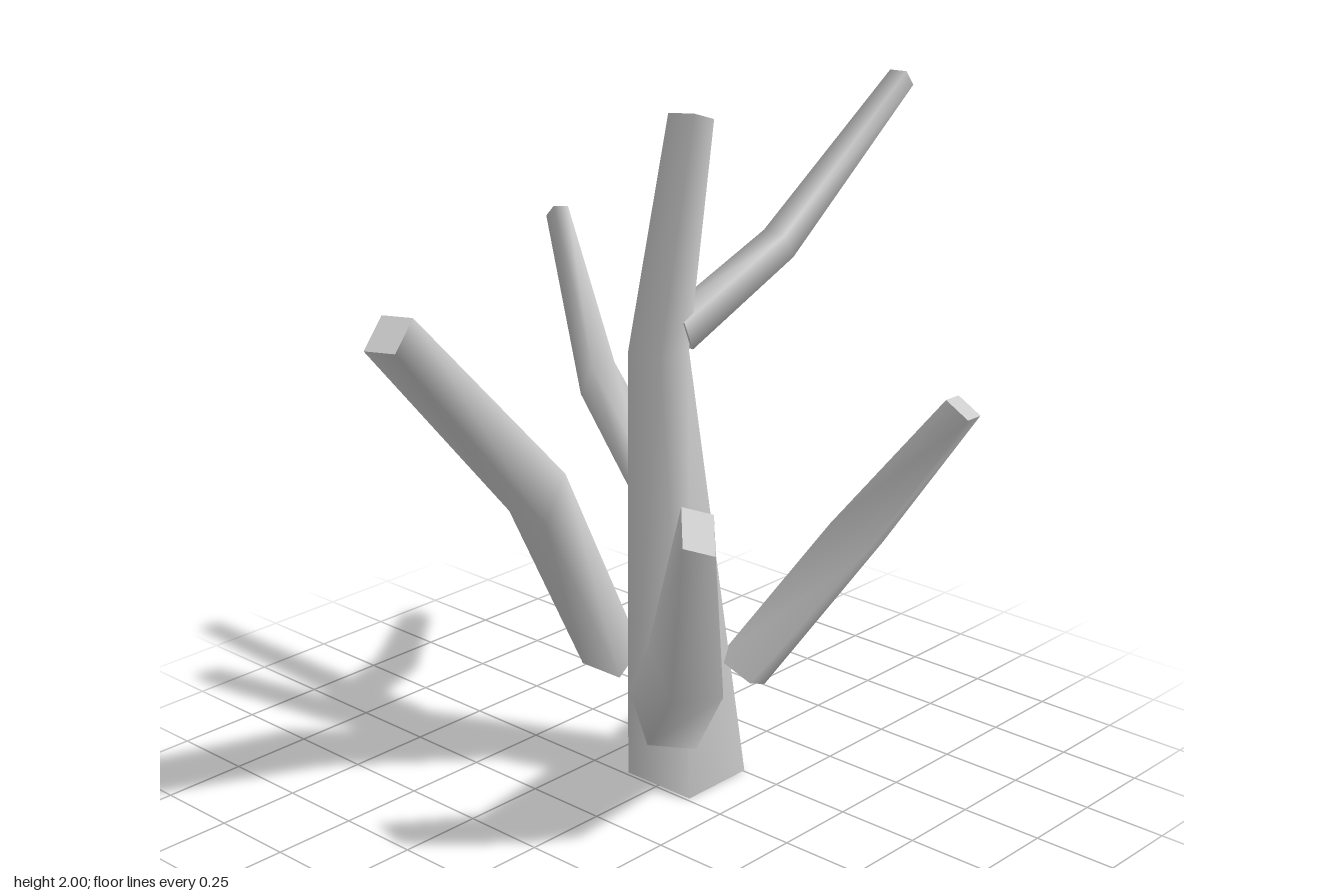
import * as THREE from 'three';

const material = new THREE.MeshStandardMaterial({ color: 0xcccccc });

// Each cross-section is [centre, half side u, half side v].
const LIMBS = {
  trunk: [
    [[0.133, 0, 0], [0.122, 0, 0], [0, 0, 0.122]],
    [[0.07, 1.31, -0.055], [0.06, 0, 0], [0, 0, 0.06]],
    [[0.162, 1.963, -0.02], [0.041, -0.014, 0], [0, 0.006, 0.047]],
  ],
  backRightBranch: [
    [[0.05, 0.335, -0.225], [0.05, 0.03, -0.005], [0, 0, 0.075]],
    [[-0.26, 0.94, -0.21], [0.05, 0.06, -0.01], [-0.005, 0, 0.077]],
    [[-0.907, 1.575, -0.066], [0.042, 0.035, -0.012], [0.014, 0.002, 0.043]],
  ],
  frontRightBranch: [
    [[-0.005, 0.23, 0.03], [0.06, -0.015, 0.04], [0.025, 0.06, -0.06]],
    [[-0.26, 0.57, 0.35], [0.06, 0, 0.04], [0.02, 0.06, -0.06]],
    [[-0.39, 1.053, 0.508], [0.027, -0.01, 0.032], [0.028, 0.042, -0.028]],
  ],
  frontLeftBranch: [
    [[0.26, 0.315, 0.1], [0.062, -0.03, -0.025], [-0.007, 0.025, -0.057]],
    [[0.556, 0.716, 0.283], [0.063, 0, -0.012], [-0.003, 0.034, -0.06]],
    [[0.56, 1.18, 0.638], [0.043, -0.006, -0.01], [-0.002, 0.022, -0.037]],
  ],
  upperLeftBranch: [
    [[0.12, 1.355, -0.033], [-0.018, 0.042, 0], [0, 0, 0.046]],
    [[0.505, 1.545, 0.01], [-0.022, 0.035, 0], [-0.008, 0, 0.044]],
    [[0.935, 1.973, 0.103], [-0.02, 0.023, 0.002], [-0.002, 0.002, 0.031]],
  ],
  backBranch: [
    [[0.097, 0.92, -0.115], [0.05, 0, 0], [0, 0.045, 0.025]],
    [[0.152, 1.14, -0.372], [0.04, -0.002, 0.008], [-0.005, 0.05, 0.027]],
    [[0.285, 1.565, -0.663], [0.027, -0.005, 0.003], [-0.005, 0.019, 0.021]],
  ],
};

// Four-sided limb: smooth sides through the sections, flat ends.
function limbGeometry(data) {
  const sections = data.map((s) => s.map((p) => new THREE.Vector3(...p)));
  const [c0, u0, v0] = sections[0];
  const path = sections[1][0].clone().sub(c0);
  const turn = Math.sign(u0.clone().cross(v0).dot(path));
  const rings = sections.map(([c, u, v]) =>
    [[-1, -1], [1, -1], [1, 1], [-1, 1]].map(([a, b]) =>
      c.clone().addScaledVector(u, a).addScaledVector(v, b * turn)));

  const last = rings.length - 1;
  const points = [...rings.flat(), ...rings[0], ...rings[last]];
  const index = [];
  for (let r = 0; r < last; r++) {
    for (let i = 0; i < 4; i++) {
      const a = r * 4 + i;
      const b = r * 4 + ((i + 1) % 4);
      index.push(a, b, b + 4, a, b + 4, a + 4);
    }
  }
  const s = rings.length * 4;
  const e = s + 4;
  index.push(s, s + 2, s + 1, s, s + 3, s + 2);
  index.push(e, e + 1, e + 2, e, e + 2, e + 3);

  const geometry = new THREE.BufferGeometry().setFromPoints(points);
  geometry.setIndex(index);
  geometry.computeVertexNormals();
  return geometry;
}

export function createModel() {
  const tree = new THREE.Group();
  tree.name = 'bareTree';
  for (const [name, sections] of Object.entries(LIMBS)) {
    const limb = new THREE.Mesh(limbGeometry(sections), material);
    limb.name = name;
    tree.add(limb);
  }
  return tree;
}
